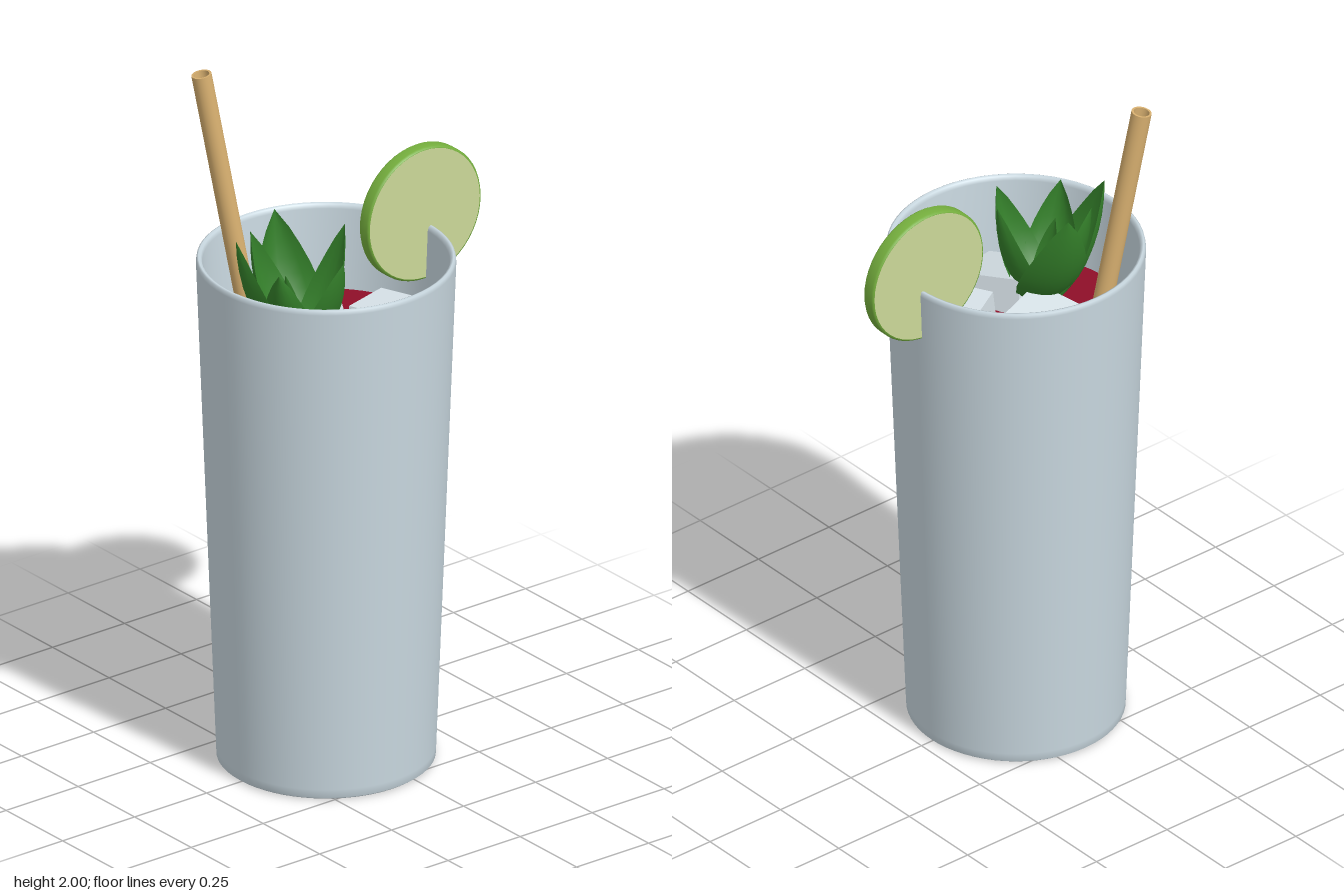
import * as THREE from 'three';

const material = (name, color, side = THREE.FrontSide) => {
  const m = new THREE.MeshStandardMaterial({ color, side });
  m.name = name;
  return m;
};
const v2 = (x, y) => new THREE.Vector2(x, y);
const v3 = (x, y, z) => new THREE.Vector3(x, y, z);

export function createModel() {
  const mats = {
    glass: material('glass', 0xc9d8e0),
    liquid: material('red drink', 0x8f0f28),
    ice: material('ice', 0xdfeaf0),
    straw: material('straw', 0xd8b070, THREE.DoubleSide),
    mint: material('mint green', 0x34802a, THREE.DoubleSide),
    rind: material('lime rind', 0x76b03e),
    pulp: material('lime pulp', 0xcbd898),
  };
  const root = new THREE.Group();
  root.name = 'icedDrink';
  const add = (name, geometry, mat, parent = root) => {
    const mesh = new THREE.Mesh(geometry, mat);
    mesh.name = name;
    parent.add(mesh);
    return mesh;
  };
  const CX = -0.085;

  // Tapered tumbler: outside wall, rounded rim, inside wall and floor
  const wall = [
    v2(0, 0), v2(0.292, 0), v2(0.3, 0.006), v2(0.301, 0.03),
    v2(0.356, 1.485), v2(0.354, 1.497), v2(0.349, 1.5), v2(0.342, 1.497),
    v2(0.338, 1.485), v2(0.327, 1.24), v2(0.284, 0.07), v2(0.28, 0.06), v2(0, 0.06),
  ];
  add('glass', new THREE.LatheGeometry(wall, 64), mats.glass).position.x = CX;

  // Drink filling the tumbler
  add('drink', new THREE.CylinderGeometry(0.326, 0.283, 1.18, 64), mats.liquid)
    .position.set(CX, 0.66, 0);

  // Ice cubes floating at the surface
  const iceGroup = new THREE.Group();
  iceGroup.name = 'iceCubes';
  root.add(iceGroup);
  const cubes = [
    { p: [-0.1, 1.22, -0.1], r: [-0.24, 0.42, 0.1] },
    { p: [0.085, 1.23, 0.085], r: [0.04, 0.44, -0.14] },
    { p: [-0.155, 1.22, 0.13], r: [0.16, 0.4, 0.22] },
  ];
  cubes.forEach(({ p, r }) => {
    const cube = add('iceCube', new THREE.BoxGeometry(0.2, 0.2, 0.2), mats.ice, iceGroup);
    cube.position.set(...p);
    cube.rotation.set(...r, 'YXZ');
  });

  // Hollow leaning straw
  const foot = v3(0.003, 0.12, -0.132);
  const top = v3(-0.285, 1.996, -0.297);
  const axis = top.clone().sub(foot);
  const straw = new THREE.Group();
  straw.name = 'straw';
  straw.position.copy(foot).addScaledVector(axis, 0.5);
  straw.quaternion.setFromUnitVectors(v3(0, 1, 0), axis.clone().normalize());
  root.add(straw);
  const len = axis.length();
  const tube = [v2(0.022, -len / 2), v2(0.028, -len / 2), v2(0.028, len / 2), v2(0.022, len / 2)];
  for (let i = 0; i < 4; i++) {
    add('strawWall', new THREE.LatheGeometry([tube[i], tube[(i + 1) % 4]], 24), mats.straw, straw);
  }

  // Cupped, pointed mint leaves rising from one stem
  const mint = new THREE.Group();
  mint.name = 'mintSprig';
  root.add(mint);
  const stem = v3(-0.2, 1.25, 0.03);
  const leaf = (tip, width) => {
    const out = v3(tip.x - stem.x, 0, tip.z - stem.z);
    const reach = out.length();
    out.normalize();
    const side = v3(-out.z, 0, out.x);
    const rib = new THREE.QuadraticBezierCurve3(
      stem, stem.clone().addScaledVector(out, reach * 0.95).setY(stem.y + 0.1), tip);
    const g = new THREE.PlaneGeometry(1, 1, 6, 10);
    const pos = g.attributes.position;
    for (let i = 0; i < pos.count; i++) {
      const s = pos.getX(i) * 2;
      const t = pos.getY(i) + 0.5;
      const w = width * 0.5 * Math.pow(Math.sin(Math.PI * Math.pow(t, 0.85)), 0.8);
      const p = rib.getPoint(t)
        .addScaledVector(side, s * w)
        .addScaledVector(out, -s * s * w * 0.55);
      pos.setXYZ(i, p.x, p.y, p.z);
    }
    g.computeVertexNormals();
    add('mintLeaf', g, mats.mint, mint);
  };
  leaf(v3(-0.367, 1.61, -0.04), 0.2);
  leaf(v3(-0.155, 1.61, -0.14), 0.2);
  leaf(v3(-0.055, 1.605, 0.045), 0.15);
  leaf(v3(-0.165, 1.565, 0.18), 0.15);
  leaf(v3(-0.335, 1.55, 0.11), 0.15);
  leaf(v3(-0.27, 1.59, -0.1), 0.17);
  leaf(v3(-0.25, 1.5, 0.03), 0.09);

  // Lime wheel on the rim: bevelled rind and thin pulp discs
  const lime = new THREE.Group();
  lime.name = 'limeSlice';
  lime.position.set(0.242, 1.54, 0);
  lime.rotation.x = Math.PI / 2;
  root.add(lime);
  const rind = [v2(0.19, -0.02), v2(0.194, -0.02), v2(0.198, -0.014),
    v2(0.198, 0.014), v2(0.194, 0.02), v2(0.19, 0.02)];
  add('limeRind', new THREE.LatheGeometry(rind, 48), mats.rind, lime);
  add('limePulp', new THREE.CylinderGeometry(0.191, 0.191, 0.0406, 48), mats.pulp, lime);

  return root;
}
